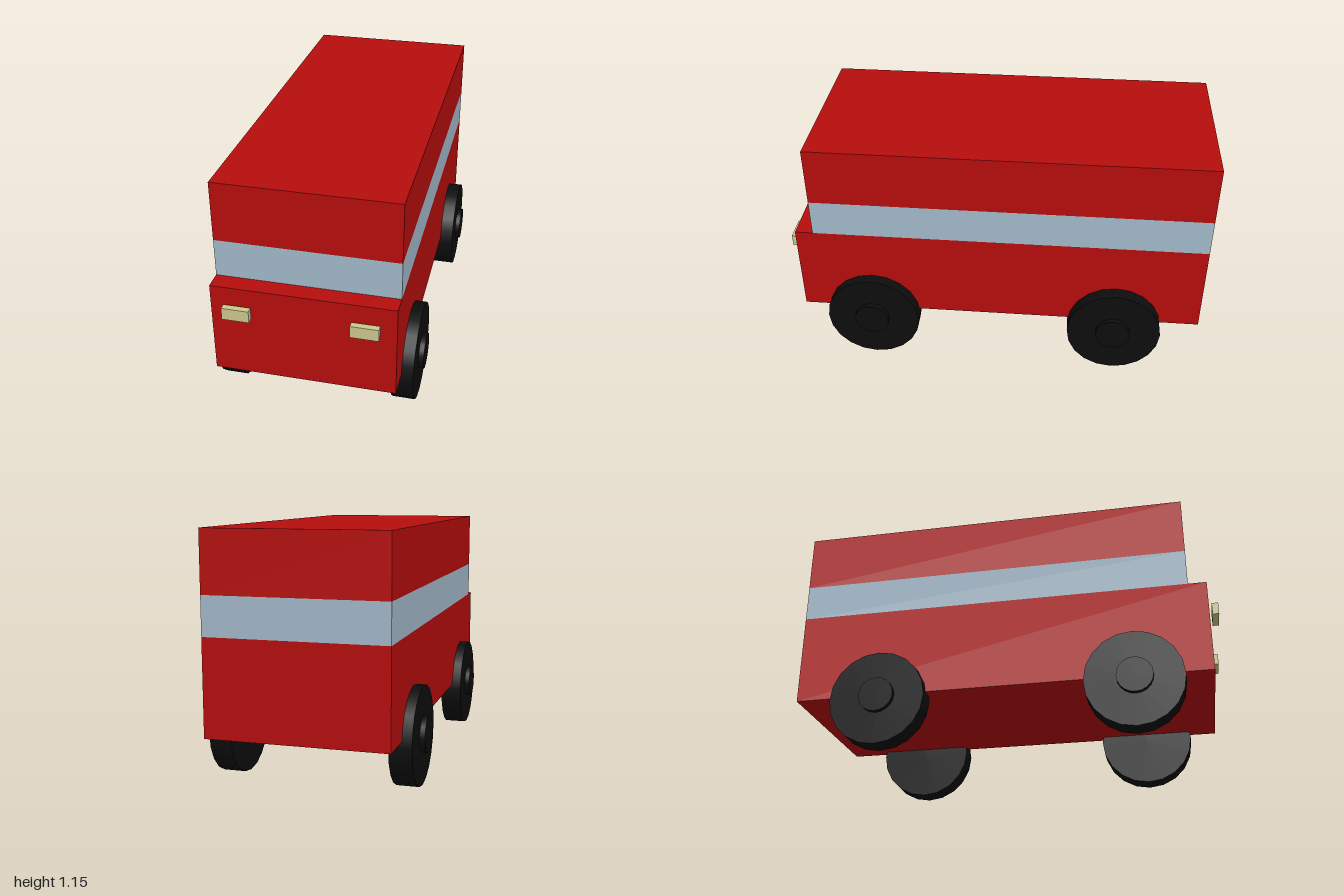
import * as THREE from 'three';

const paint = (color) => new THREE.MeshStandardMaterial({ color });

export function createModel() {
  const van = new THREE.Group();
  van.name = 'van';
  const red = paint(0xb60d0d);
  const glass = paint(0xa2b8c9);
  const lamp = paint(0xcbc78e);
  const rubber = paint(0x0d0d0d);

  // Box given by its min and max corners
  function box(name, material, [x0, y0, z0], [x1, y1, z1]) {
    const mesh = new THREE.Mesh(new THREE.BoxGeometry(x1 - x0, y1 - y0, z1 - z0), material);
    mesh.position.set((x0 + x1) / 2, (y0 + y1) / 2, (z0 + z1) / 2);
    mesh.name = name;
    van.add(mesh);
  }

  // Body: long lower section, window band and roof section set back at the front
  box('lowerBody', red, [-0.42, 0.255, -1], [0.4, 0.695, 0.955]);
  box('windowBand', glass, [-0.42, 0.695, -1], [0.4, 0.872, 0.87]);
  box('upperBody', red, [-0.42, 0.872, -1], [0.4, 1.15, 0.87]);

  // Headlights, just ahead of the nose
  box('rightHeadlight', lamp, [-0.357, 0.56, 0.97], [-0.235, 0.617, 1]);
  box('leftHeadlight', lamp, [0.206, 0.56, 0.97], [0.33, 0.617, 1]);

  // Wheels: a tyre disc with a raised hub on the outer face
  const tyreGeometry = new THREE.CylinderGeometry(0.227, 0.227, 0.104, 20).rotateZ(Math.PI / 2);
  const hubGeometry = new THREE.CylinderGeometry(0.083, 0.083, 0.05, 20).rotateZ(Math.PI / 2);

  function wheel(name, side, x, z) {
    const group = new THREE.Group();
    group.name = name;
    const tyre = new THREE.Mesh(tyreGeometry, rubber);
    tyre.name = 'tyre';
    const hub = new THREE.Mesh(hubGeometry, rubber);
    hub.name = 'hub';
    hub.position.set(side * 0.051, 0.006, 0.004);
    group.add(tyre, hub);
    group.position.set(x, 0.227, z);
    van.add(group);
  }
  wheel('frontRightWheel', -1, -0.413, 0.602);
  wheel('frontLeftWheel', 1, 0.402, 0.602);
  wheel('rearRightWheel', -1, -0.413, -0.588);
  wheel('rearLeftWheel', 1, 0.412, -0.588);

  return van;
}
